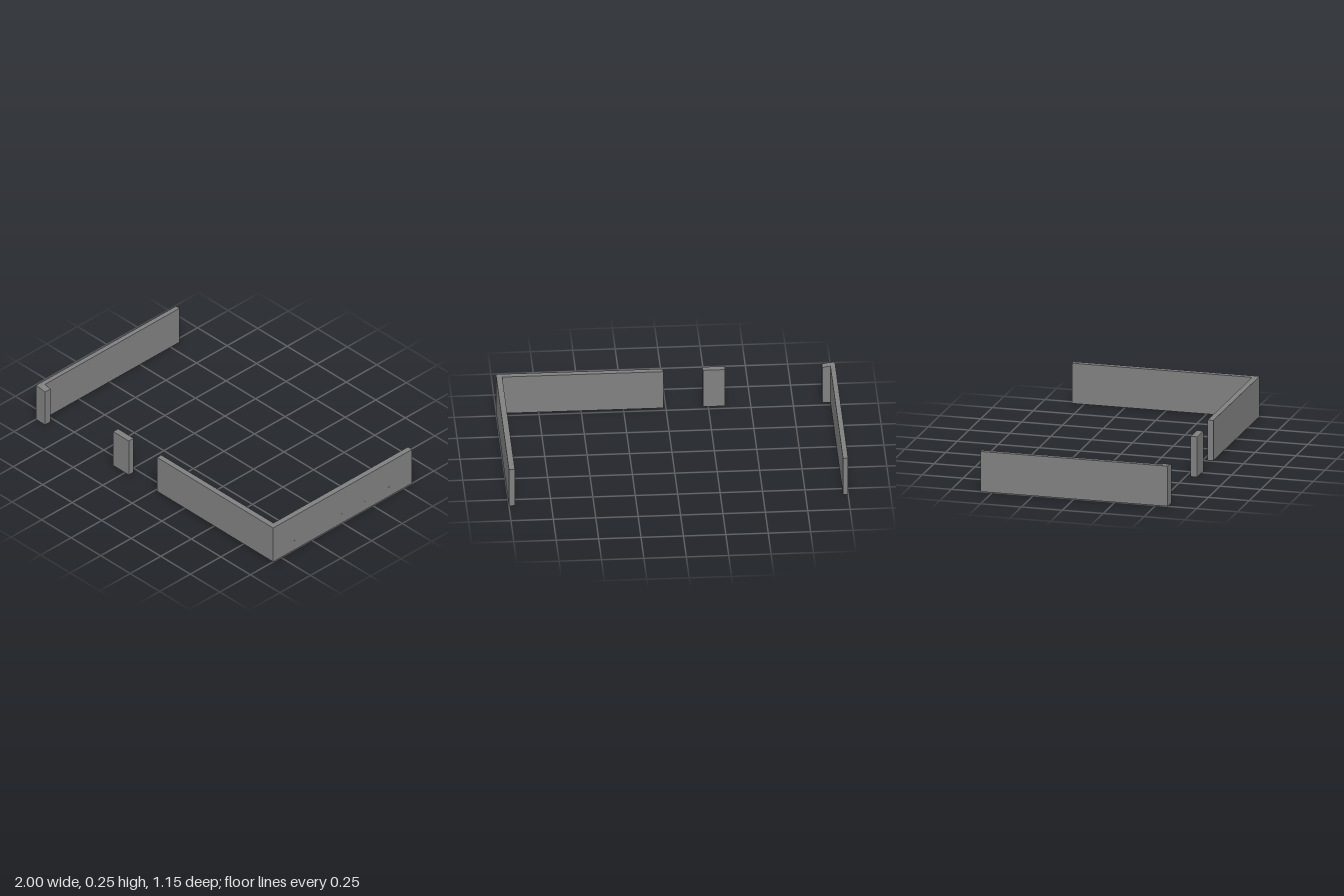
import * as THREE from 'three';

const HEIGHT = 0.246;

export function createModel() {
  const model = new THREE.Group();
  model.name = 'wallSections';
  const grey = new THREE.MeshStandardMaterial({ color: 0x808080 });
  grey.name = 'wall grey';

  // Upright wall from a plan outline given as [x, z] corners
  function wall(name, plan) {
    const shape = new THREE.Shape(plan.map(([x, z]) => new THREE.Vector2(x, -z)));
    const geometry = new THREE.ExtrudeGeometry(shape, { depth: HEIGHT, bevelEnabled: false });
    geometry.rotateX(-Math.PI / 2);
    const mesh = new THREE.Mesh(geometry, grey);
    mesh.name = name;
    model.add(mesh);
    return mesh;
  }

  // Left side and front panel form one corner
  wall('leftCornerWall', [
    [0.015, 0.562], [0.99, 0.564], [1, 0.564], [1, -0.573],
    [0.965, -0.573], [0.965, 0.528], [0.015, 0.528],
  ]);

  // Freestanding panel between the two openings
  wall('middlePanel', [[-0.35, 0.568], [-0.218, 0.568], [-0.218, 0.528], [-0.35, 0.528]]);

  // Right side wall
  wall('rightSideWall', [[-1, 0.573], [-0.97, 0.573], [-0.97, -0.573], [-1, -0.573]]);

  // Short front return with a slightly sloping top
  const stub = wall('rightFrontReturn', [
    [-0.97, 0.573], [-0.922, 0.573], [-0.922, 0.528], [-0.97, 0.528],
  ]);
  const p = stub.geometry.attributes.position;
  for (let i = 0; i < p.count; i++) {
    if (p.getY(i) > 0.1 && p.getX(i) > -0.95) p.setY(i, HEIGHT - 0.008);
  }
  stub.geometry.computeVertexNormals();

  // Tiny fixing caps along the left side
  for (let i = -2; i <= 2; i++) {
    const cap = new THREE.Mesh(new THREE.CylinderGeometry(0.009, 0.009, 0.002, 12), grey);
    cap.name = 'fixingCap';
    cap.rotation.z = Math.PI / 2;
    cap.position.set(0.9995, 0.06, i * 0.193);
    model.add(cap);
  }
  return model;
}
